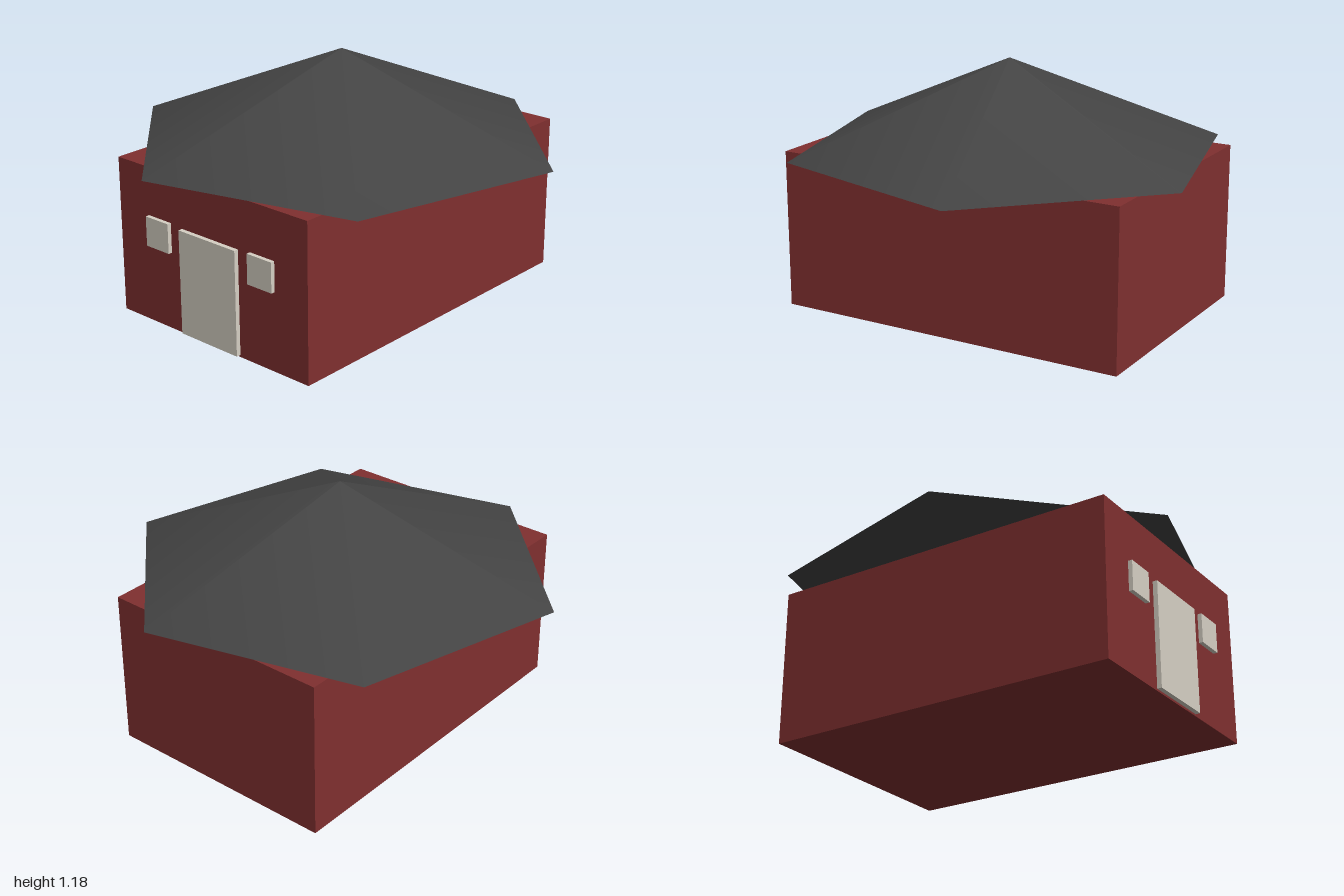
import * as THREE from 'three';

const WALL_H = 0.75, WALL_W = 1.15, WALL_D = 1.725;

export function createModel() {
  const house = new THREE.Group();
  house.name = 'house';

  const red = new THREE.MeshStandardMaterial({ color: 0x803030 });
  const dark = new THREE.MeshStandardMaterial({ color: 0x444444 });
  const cream = new THREE.MeshStandardMaterial({ color: 0xd6d0c4 });

  const add = (name, geometry, material, x, y, z) => {
    const mesh = new THREE.Mesh(geometry, material);
    mesh.name = name;
    mesh.position.set(x, y, z);
    house.add(mesh);
    return mesh;
  };

  // Walls
  add('walls', new THREE.BoxGeometry(WALL_W, WALL_H, WALL_D), red, 0, WALL_H / 2, 0);

  // Six-sided roof, turned so one corner points between +x and +z
  const roofH = 0.43;
  const roof = add('roof', new THREE.ConeGeometry(1.035, roofH, 6), dark, 0, WALL_H + roofH / 2, 0);
  roof.rotation.y = Math.PI / 4;

  // Door and windows stand slightly proud of the front wall
  const front = WALL_D / 2;
  add('door', new THREE.BoxGeometry(0.345, 0.5, 0.044), cream, 0, 0.26, front);
  for (const [name, side] of [['leftWindow', 1], ['rightWindow', -1]]) {
    add(name, new THREE.BoxGeometry(0.142, 0.142, 0.04), cream, side * 0.315, 0.447, front);
  }

  return house;
}
